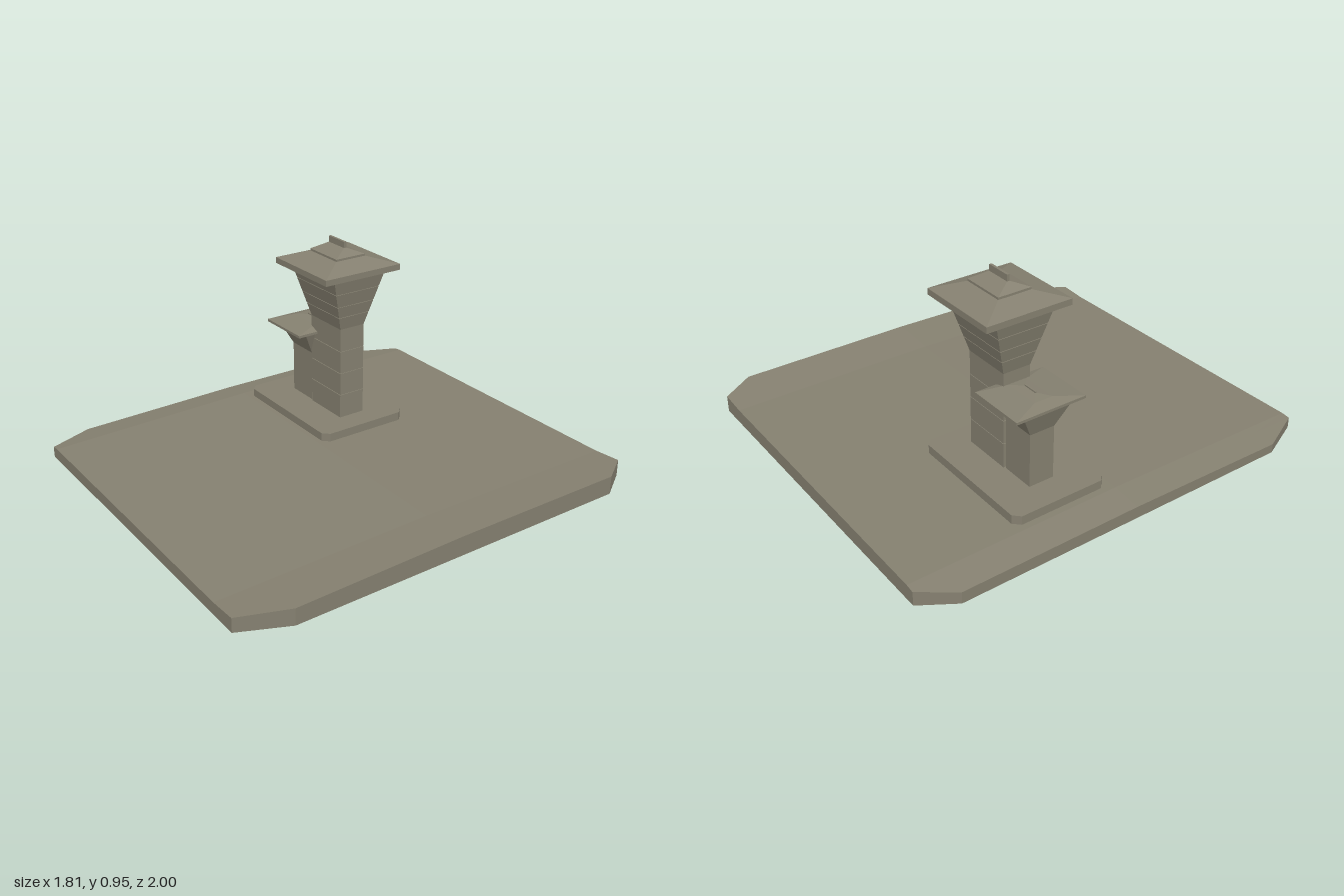
import * as THREE from 'three';

const stone = new THREE.MeshStandardMaterial({ color: 0x858070 });
stone.name = 'stone';

function meshFromQuads(name, quads) {
  const pos = [];
  for (const [a, b, c, d] of quads) pos.push(...a, ...b, ...c, ...a, ...c, ...d);
  const g = new THREE.BufferGeometry();
  g.setAttribute('position', new THREE.Float32BufferAttribute(pos, 3));
  g.computeVertexNormals();
  const m = new THREE.Mesh(g, stone);
  m.name = name;
  return m;
}

// Stack of rectangles [y, halfX, halfZ] joined by flat faces and capped
function stack(name, levels) {
  const rings = levels.map(([y, w, d]) => [[-w, y, d], [w, y, d], [w, y, -d], [-w, y, -d]]);
  const quads = [];
  for (let i = 0; i < rings.length - 1; i++) {
    for (let k = 0; k < 4; k++) {
      const n = (k + 1) % 4;
      quads.push([rings[i][k], rings[i][n], rings[i + 1][n], rings[i + 1][k]]);
    }
  }
  quads.push([...rings[0]].reverse(), rings[rings.length - 1]);
  return meshFromQuads(name, quads);
}

// Straight or flared wall, one block per storey with a fine joint between
function storeys(group, name, heights, from, to) {
  const y0 = heights[0], y1 = heights[heights.length - 1];
  const at = (y) => {
    const t = (y - y0) / (y1 - y0);
    return [y, from[0] + (to[0] - from[0]) * t, from[1] + (to[1] - from[1]) * t];
  };
  for (let i = 0; i < heights.length - 1; i++) {
    const last = i === heights.length - 2;
    const top = at(heights[i + 1] - (last ? 0 : 0.003));
    const levels = [at(heights[i]), top];
    if (!last) {
      const [y, w, d] = at(heights[i + 1]);
      levels.push([top[0], w - 0.004, d - 0.004], [y, w - 0.004, d - 0.004]);
    }
    group.add(stack(name + (i + 1), levels));
  }
}

// Piecewise linear lookup
function lerpTable(table, v) {
  for (let i = 0; i < table.length - 1; i++) {
    const [a, fa] = table[i], [b, fb] = table[i + 1];
    if (v <= b) return fa + (fb - fa) * (v - a) / (b - a);
  }
  return table[table.length - 1][1];
}

// Gently uneven ground slab with cut corners
function ground() {
  const across = [[-0.905, -0.017], [-0.77, 0], [0.68, 0], [0.905, 0.016]];
  const along = [[-1, 0.069], [0, 0.073], [1, 0.055]];
  const cols = [[-0.905, -0.85, 0.79], [-0.81, -1, 1], [-0.77, -1, 1],
    [0.68, -1, 1], [0.81, -1, 1], [0.905, -0.85, 0.79]];
  const top = cols.map(([x, z0, z1]) => [z0, -0.85, 0, 0.79, z1].map(
    (z) => [x, lerpTable(across, x) + lerpTable(along, z), z]));
  const low = (p) => [p[0], 0, p[2]];
  const quads = [];
  for (let i = 0; i < 5; i++) {
    const a = top[i], b = top[i + 1];
    for (let j = 0; j < 4; j++) {
      quads.push([a[j], a[j + 1], b[j + 1], b[j]]);
      quads.push([low(a[j]), low(b[j]), low(b[j + 1]), low(a[j + 1])]);
    }
    quads.push([low(a[4]), low(b[4]), b[4], a[4]]);
    quads.push([low(b[0]), low(a[0]), a[0], b[0]]);
  }
  for (let j = 0; j < 4; j++) {
    const a = top[0], b = top[5];
    quads.push([low(a[j]), low(a[j + 1]), a[j + 1], a[j]]);
    quads.push([low(b[j + 1]), low(b[j]), b[j], b[j + 1]]);
  }
  return meshFromQuads('ground', quads);
}

// Low base with chamfered corners
function plinth() {
  const w = 0.328, d = 0.23, c = 0.03;
  const s = new THREE.Shape([[-w + c, -d], [w - c, -d], [w, -d + c], [w, d - c],
    [w - c, d], [-w + c, d], [-w, d - c], [-w, -d + c]].map(([x, y]) => new THREE.Vector2(x, y)));
  const g = new THREE.ExtrudeGeometry(s, { depth: 0.062, bevelEnabled: false });
  g.rotateX(-Math.PI / 2);
  const m = new THREE.Mesh(g, stone);
  m.name = 'plinth';
  m.position.set(-0.412, 0.05, -0.255);
  return m;
}

export function createModel() {
  const model = new THREE.Group();
  model.name = 'towers';
  model.add(ground(), plinth());

  // Tall tower
  const tall = new THREE.Group();
  tall.name = 'tallTower';
  tall.position.set(-0.316, 0, -0.257);
  storeys(tall, 'shaftBlock', [0.11, 0.23, 0.34, 0.45, 0.56], [0.118, 0.066], [0.118, 0.066]);
  storeys(tall, 'flareBlock', [0.56, 0.625, 0.683, 0.75, 0.825], [0.118, 0.066], [0.176, 0.141]);
  tall.add(stack('eaves', [[0.822, 0.204, 0.205], [0.85, 0.204, 0.205], [0.886, 0.104, 0.08]]));
  tall.add(stack('roofCap', [[0.88, 0.104, 0.08], [0.896, 0.104, 0.08], [0.926, 0.06, 0.006]]));
  tall.add(stack('ridge', [[0.915, 0.06, 0.006], [0.955, 0.06, 0.006]]));

  // Short tower
  const short = new THREE.Group();
  short.name = 'shortTower';
  short.position.set(-0.524, 0, -0.257);
  storeys(short, 'shaftBlock', [0.11, 0.36], [0.08, 0.06], [0.08, 0.06]);
  storeys(short, 'flareBlock', [0.36, 0.48], [0.08, 0.06], [0.12, 0.122]);
  short.add(stack('eaves', [[0.478, 0.138, 0.17], [0.49, 0.138, 0.17], [0.506, 0.085, 0.045], [0.512, 0.035, 0.003]]));
  short.add(stack('ridge', [[0.505, 0.036, 0.003], [0.518, 0.036, 0.003]]));

  model.add(tall, short);
  return model;
}
